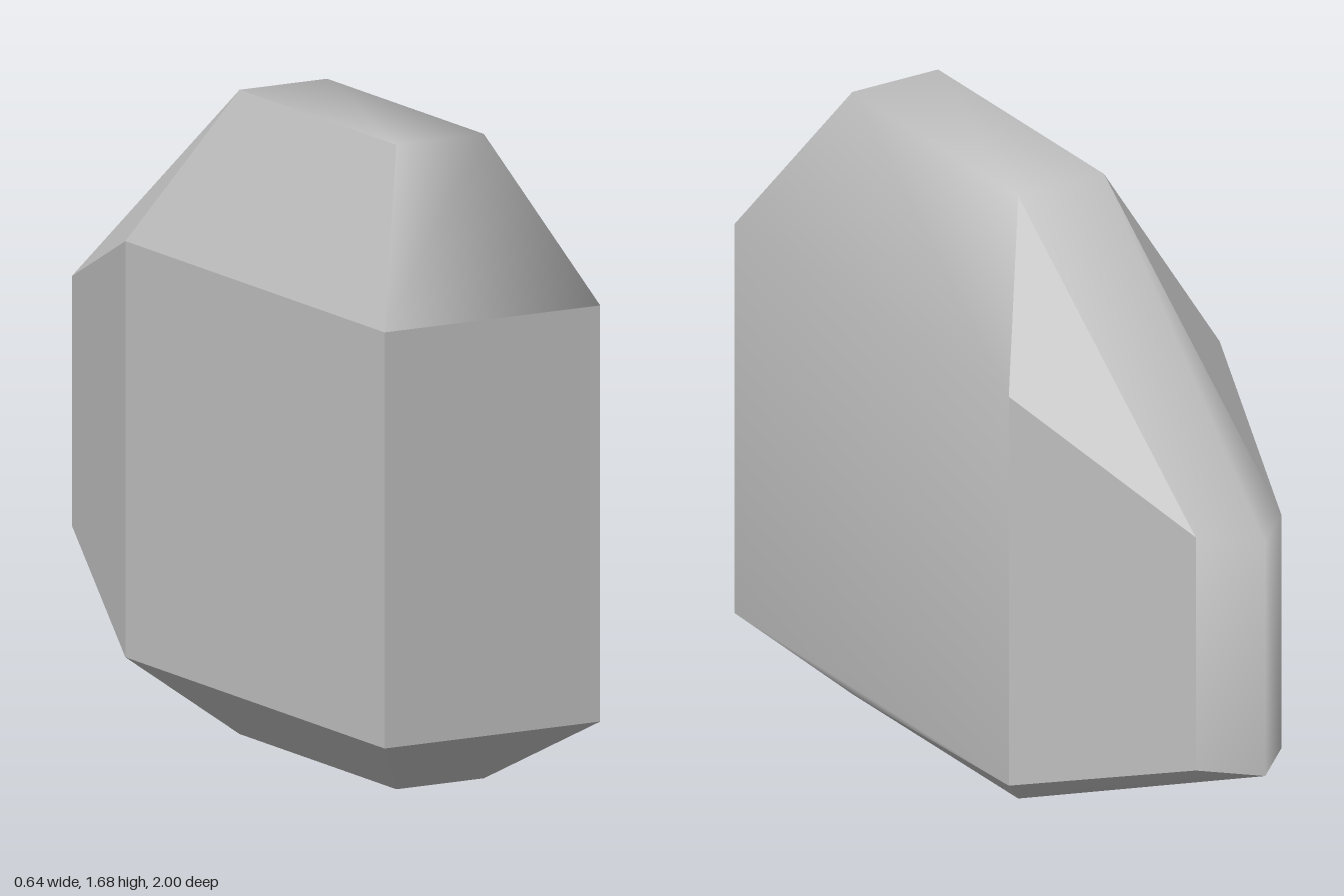
import * as THREE from 'three';

// Corners on the left (+x) half; lower-case letters are their mirror images
const P = {
  A: [0.32, 1.26, 1], B: [0.32, 0.175, 1], // front panel
  C: [0.32, 1.26, -0.29], D: [0.32, 0.175, -0.29], // rear end of the flat sides
  E: [0.13, 1.68, 0.74], F: [0.13, 1.68, -0.04], // top ridge
  G: [0.13, 0, 0.74], H: [0.13, 0, -0.04], // base
  I: [0.13, 1.04, -0.875], J: [0.13, 0.39, -0.875], // tail shoulders
  K: [0, 1.04, -1], M: [0, 0.39, -1], // tail edge
};
for (const k of Object.keys(P)) P[k.toLowerCase()] = [-P[k][0], P[k][1], P[k][2]];
const mid = new THREE.Vector3(0, 0.8, 0.1);

// Convex faces given as strings of corners; corners shared in one call are smoothed
function facets(...faces) {
  const keys = [...new Set(faces.join(''))];
  const index = [];
  for (const face of faces) {
    const [a, b, c] = [...face].map((k) => new THREE.Vector3(...P[k]));
    const n = b.clone().sub(a).cross(c.clone().sub(a));
    const ids = [...face].map((k) => keys.indexOf(k));
    if (n.dot(a.clone().sub(mid)) < 0) ids.reverse(); // face outward
    for (let i = 1; i < ids.length - 1; i++) index.push(ids[0], ids[i], ids[i + 1]);
  }
  const g = new THREE.BufferGeometry();
  g.setAttribute('position', new THREE.Float32BufferAttribute(keys.flatMap((k) => P[k]), 3));
  g.setIndex(index);
  g.computeVertexNormals();
  return g;
}

export function createModel() {
  const group = new THREE.Group();
  group.name = 'facetedBody';
  const grey = new THREE.MeshStandardMaterial({ color: 0xc0c0c0 });
  grey.name = 'grey';
  const add = (name, ...faces) => {
    const mesh = new THREE.Mesh(facets(...faces), grey);
    mesh.name = name;
    group.add(mesh);
  };

  // Softly shaded skin over the brow, ridge, left side and tail
  add('smoothShell', 'AaeE', 'EefF', 'AEFC', 'ABDC', 'BGD',
    'FfK', 'FIK', 'fiK', 'IJMK', 'ijMK');

  // Crisp panels
  add('frontPanel', 'AabB');
  add('rightSide', 'abdc');
  add('rightUpperSide', 'aefc');
  add('frontChin', 'BbgG');
  add('base', 'GghH');
  add('leftLowerSide', 'GHD');
  add('rightLowerSide', 'bghd');
  add('tailUnderside', 'HhM', 'HJM', 'hjM');

  // Tapering rear panels on both sides
  add('leftRearPanel', 'CDJI');
  add('rightRearPanel', 'cdji');
  add('leftRearUpper', 'CFI');
  add('rightRearUpper', 'cfi');
  add('leftRearLower', 'DHJ');
  add('rightRearLower', 'dhj');
  return group;
}
